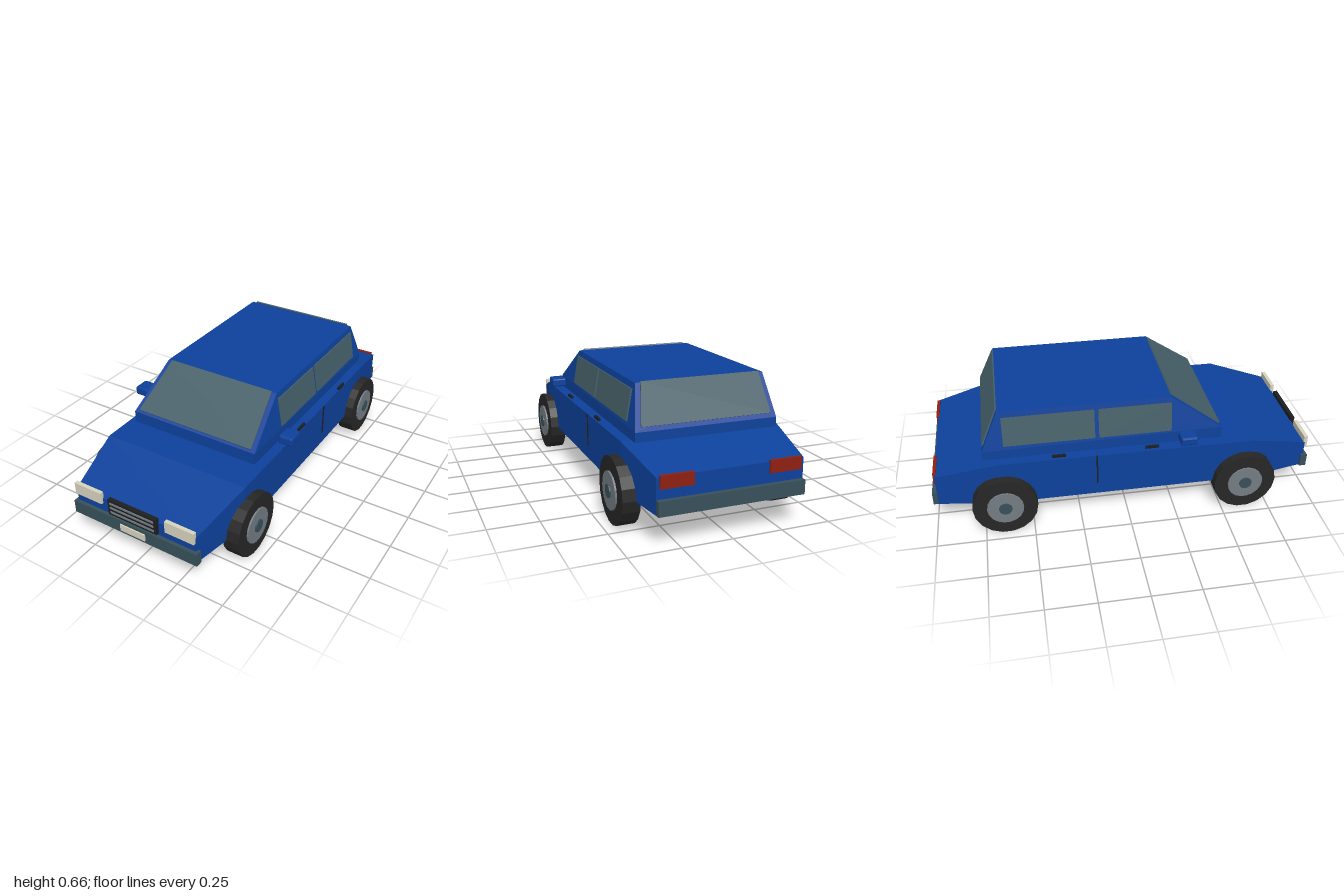
import * as THREE from 'three';
import { ConvexGeometry } from 'three/addons/geometries/ConvexGeometry.js';
import { RoundedBoxGeometry } from 'three/addons/geometries/RoundedBoxGeometry.js';

const mat = (name, color) => {
  const m = new THREE.MeshStandardMaterial({ color, flatShading: true });
  m.name = name;
  return m;
};

export function createModel() {
  const car = new THREE.Group();
  car.name = 'car';
  const paint = mat('blue paint', 0x0d419b);
  const glass = mat('tinted glass', 0x455f68);
  const bumperGrey = mat('bumper grey', 0x37505a);
  const rubber = mat('tyre rubber', 0x262626);
  const metal = mat('rim metal', 0x737b82);
  const trim = mat('black trim', 0x1c1e20);
  const lamp = mat('lamp cream', 0xd6d2bd);
  const red = mat('tail light red', 0x8e2010);

  const add = (name, geometry, material, x = 0, y = 0, z = 0) => {
    const mesh = new THREE.Mesh(geometry, material);
    mesh.name = name;
    mesh.position.set(x, y, z);
    car.add(mesh);
    return mesh;
  };
  // Box given by its lower and upper corners
  const box = (name, material, x0, x1, y0, y1, z0, z1) =>
    add(name, new THREE.BoxGeometry(x1 - x0, y1 - y0, z1 - z0), material,
      (x0 + x1) / 2, (y0 + y1) / 2, (z0 + z1) / 2);
  // Faceted shell from mirrored [half width, y, z] corners
  const shell = (name, corners, material) =>
    add(name, new ConvexGeometry(corners.flatMap(([x, y, z]) =>
      [new THREE.Vector3(x, y, z), new THREE.Vector3(-x, y, z)])), material);
  // Thin pane: corners thickened along a direction
  const pane = (name, corners, dir, material) => {
    const d = new THREE.Vector3(...dir).normalize().multiplyScalar(0.008);
    const pts = corners.map(c => new THREE.Vector3(...c));
    add(name, new ConvexGeometry([...pts, ...pts.map(p => p.clone().add(d))]), material);
  };

  // Lower body with tapered nose and tail
  shell('body', [
    [0.345, 0.16, 0.97], [0.345, 0.305, 0.97],
    [0.405, 0.16, 0.65], [0.405, 0.396, 0.65],
    [0.405, 0.16, -0.66], [0.405, 0.402, -0.66],
    [0.36, 0.16, -0.975], [0.36, 0.33, -0.975],
  ], paint);

  // Cabin
  shell('cabin', [
    [0.36, 0.408, 0.49], [0.36, 0.47, 0.49], [0.326, 0.66, 0.225],
    [0.326, 0.66, -0.64], [0.36, 0.455, -0.73], [0.36, 0.408, -0.73],
  ], paint);

  // Windscreen and rear window follow the cabin slopes
  pane('windscreen', [
    [-0.335, 0.478, 0.479], [0.335, 0.478, 0.479],
    [0.3, 0.66, 0.225], [-0.3, 0.66, 0.225],
  ], [0, 0.265, 0.19], glass);
  pane('rearWindow', [
    [-0.33, 0.475, -0.721], [0.33, 0.475, -0.721],
    [0.3, 0.664, -0.638], [-0.3, 0.664, -0.638],
  ], [0, 0.09, -0.205], glass);

  // Side windows on the leaning cabin walls
  const wallX = y => 0.36 - (y - 0.465) * 0.176;
  for (const s of [1, -1]) {
    for (const [name, z0, z1] of [['frontSideWindow', 0.225, -0.145], ['rearSideWindow', -0.165, -0.622]]) {
      pane(name, [
        [s * wallX(0.48), 0.48, z0], [s * wallX(0.48), 0.48, z1],
        [s * wallX(0.63), 0.63, z1], [s * wallX(0.63), 0.63, z0],
      ], [s, 0.176, 0], glass);
    }
    // Door handles, door seam and mirror
    for (const z of [0.115, -0.355]) {
      add('doorHandle', new THREE.BoxGeometry(0.012, 0.012, 0.068), trim, s * 0.415, 0.431, z);
    }
    add('doorSeam', new THREE.BoxGeometry(0.008, 0.17, 0.007), trim, s * 0.406, 0.315, -0.163);
    add('mirror', new RoundedBoxGeometry(0.075, 0.045, 0.085, 1, 0.008), paint, s * 0.439, 0.48, 0.293);

    // Lamps
    add('headlight', new THREE.BoxGeometry(0.16, 0.063, 0.02), lamp, s * 0.265, 0.309, 0.973);
    add('tailLight', new THREE.BoxGeometry(0.16, 0.06, 0.016), red, s * 0.265, 0.308, -0.976);

    // Wheels
    for (const z of [0.615, -0.64]) {
      for (const [name, r, x0, x1, m] of [
        ['tyre', 0.165, 0.362, 0.449, rubber],
        ['rim', 0.093, 0.4, 0.458, metal],
        ['hubCap', 0.033, 0.42, 0.465, bumperGrey],
      ]) {
        const g = new THREE.CylinderGeometry(r, r, x1 - x0, 18).rotateZ(Math.PI / 2);
        add(name, g, m, s * (x0 + x1) / 2, 0.165, z);
      }
    }
  }

  // Bumpers and number plate
  box('frontBumper', bumperGrey, -0.36, 0.36, 0.16, 0.23, 0.953, 0.988);
  box('rearBumper', bumperGrey, -0.36, 0.36, 0.16, 0.23, -1, -0.967);
  box('numberPlate', lamp, -0.072, 0.072, 0.177, 0.213, 0.986, 0.995);

  // Grille with three bars
  box('grille', trim, -0.141, 0.141, 0.242, 0.329, 0.965, 0.987);
  for (const y of [0.261, 0.287, 0.312]) {
    box('grilleBar', metal, -0.127, 0.127, y - 0.005, y + 0.005, 0.985, 0.991);
  }
  return car;
}
